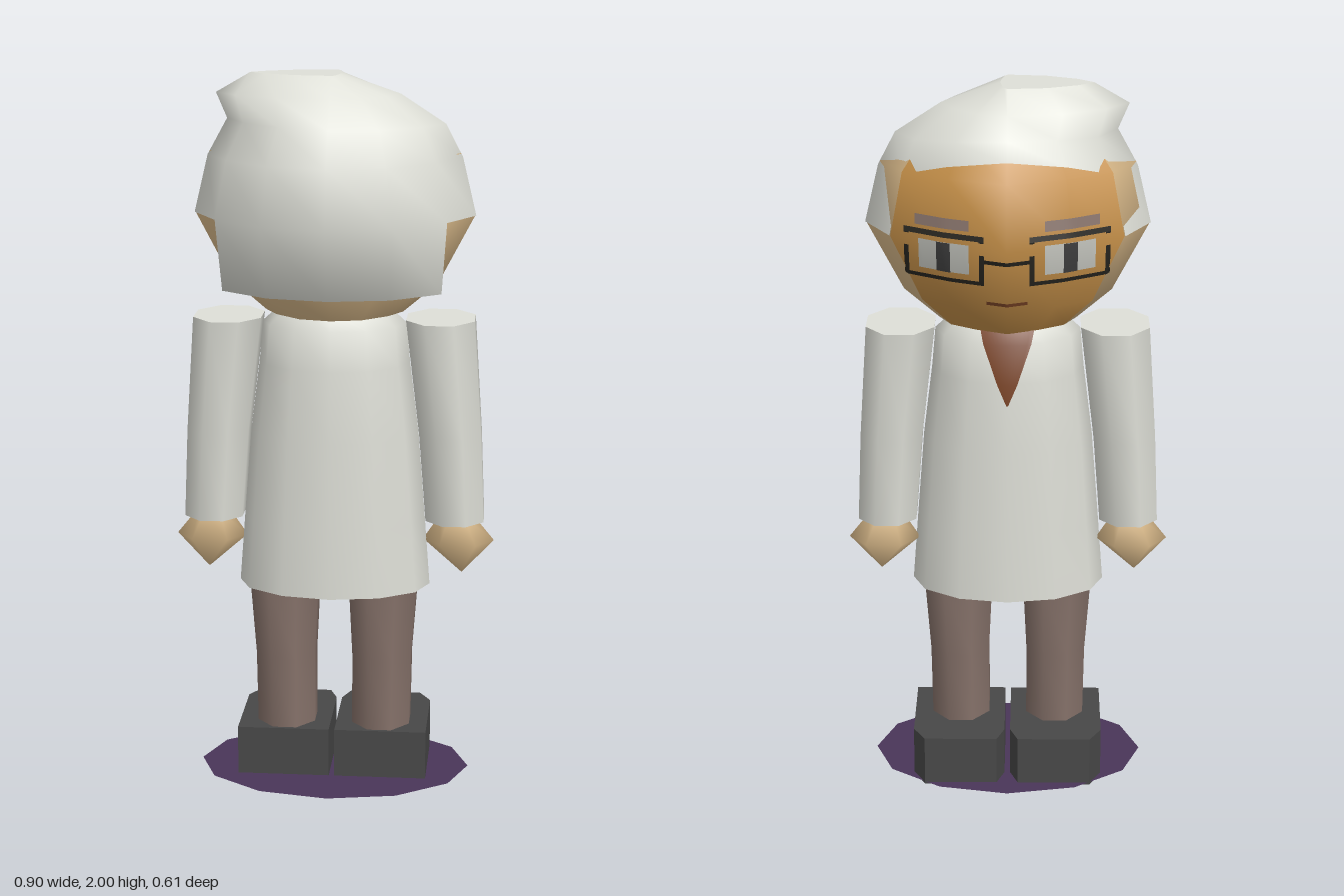
import * as THREE from 'three';

const mat = (name, color, side = THREE.FrontSide) => {
  const m = new THREE.MeshStandardMaterial({ color, side });
  m.name = name;
  return m;
};
const lerp = THREE.MathUtils.lerp;

// Indexed surface over a grid of point rows (each row runs towards +x at the face side)
function surface(rows, { closed = true, keep = () => true, top = false, bottom = false } = {}) {
  const n = rows[0].length, pos = rows.flat(2), idx = [];
  for (let r = 0; r < rows.length - 1; r++)
    for (let i = 0; i < (closed ? n : n - 1); i++) {
      if (!keep(i, r)) continue;
      const j = (i + 1) % n;
      const a = r * n + i, b = r * n + j, c = b + n, d = a + n;
      idx.push(a, d, c, a, c, b);
    }
  const cap = (row, up) => {
    const start = pos.length / 3;
    row.forEach(p => pos.push(...p));
    pos.push(...[0, 1, 2].map(k => row.reduce((s, p) => s + p[k], 0) / n));
    for (let i = 0; i < n; i++) {
      const a = start + i, b = start + (i + 1) % n;
      idx.push(start + n, ...(up ? [b, a] : [a, b]));
    }
  };
  if (top) cap(rows[rows.length - 1], true);
  if (bottom) cap(rows[0], false);
  const g = new THREE.BufferGeometry();
  g.setAttribute('position', new THREE.Float32BufferAttribute(pos, 3));
  g.setIndex(idx);
  g.computeVertexNormals();
  return g;
}

// Elliptical cross-section, starting at -z and turning towards +x
const oval = (cx, y, cz, rx, rz, n, turn = 0) => Array.from({ length: n }, (_, i) => {
  const a = (i + turn) / n * Math.PI * 2;
  return [cx + rx * Math.sin(a), y, cz - rz * Math.cos(a)];
});

// Twelve-sided head section; frontZ sets the sharpness of the face side
const BACK = [1, 0.86, 0.44, 0], FACE = [1, 0.75, 0.46, 0], WIDE = [0, 0.45, 0.81, 1];
const headRing = ({ yL, yR = yL, xL, xR = xL, zf, zb, front = FACE, lift = 0 }) =>
  Array.from({ length: 12 }, (_, i) => {
    const k = i % 6 <= 3 ? i % 6 : 6 - i % 6;
    const isFront = i <= 3 || i >= 9, right = i <= 6;
    const x = WIDE[k] * (right ? xR : -xL);
    const y = lerp(yL, yR, (x + xL) / (xL + xR)) + (isFront ? lift * [1, 0.7, 0, 0][k] : 0);
    return [x, y, isFront ? -zf * front[k] : zb * BACK[k]];
  });

const HEAD = [
  [1.34, 0.19, 0.155, 0.155], [1.42, 0.285, 0.215, 0.21], [1.61, 0.385, 0.305, 0.295],
  [1.78, 0.345, 0.262, 0.265], [1.87, 0.27, 0.19, 0.19],
];
const COAT = [
  [0.555, 0.27, 0.177], [0.75, 0.255, 0.175], [1.0, 0.235, 0.175],
  [1.2, 0.21, 0.17], [1.31, 0.2, 0.155], [1.355, 0.15, 0.12],
];
function sample(table, y) {
  let k = 0;
  while (k < table.length - 2 && y > table[k + 1][0]) k++;
  const t = (y - table[k][0]) / (table[k + 1][0] - table[k][0]);
  return table[k].map((v, c) => lerp(v, table[k + 1][c], t));
}
const faceZ = (x, y) => {
  const [, rx, zf] = sample(HEAD, y), f = Math.min(Math.abs(x) / rx, 1);
  let k = 0;
  while (k < 2 && f > WIDE[k + 1]) k++;
  return -zf * lerp(FACE[k], FACE[k + 1], (f - WIDE[k]) / (WIDE[k + 1] - WIDE[k]));
};
const coatZ = (x, y) => {
  const [, rx, rz] = sample(COAT, y);
  return -rz * Math.sqrt(1 - (x / rx) ** 2);
};
// Painted patch laid on a surface; rows are [y, x0, x1]
const patch = (zAt, rows, gap = 0.006, cols = 12) => surface(rows.map(([y, x0, x1]) =>
  Array.from({ length: cols + 1 }, (_, i) => {
    const x = lerp(x0, x1, i / cols);
    return [x, y, zAt(x, y) - gap];
  })), { closed: false });

export function createModel() {
  const root = new THREE.Group();
  root.name = 'figure';
  const white = mat('white', 0xdfe0d8, THREE.DoubleSide);
  const skin = mat('skin', 0xdcbc8c);
  const faceTone = mat('face', 0xc8924a);
  const taupe = mat('trousers', 0x86726a);
  const shoe = mat('shoe', 0x484848);
  const purple = mat('base', 0x4a3559, THREE.DoubleSide);
  const brown = mat('tie', 0x7a4426, THREE.DoubleSide);
  const black = mat('glasses', 0x2a2822);
  const add = (name, geo, m) => {
    const mesh = new THREE.Mesh(geo, m);
    mesh.name = name;
    root.add(mesh);
    return mesh;
  };

  // Flat base
  const base = add('base', new THREE.CircleGeometry(1, 12), purple);
  base.rotation.x = -Math.PI / 2;
  base.scale.set(0.385, 0.28, 1);
  base.position.y = 0.006;

  // Head: face segments and the remaining skin
  const headRows = HEAD.map(([yL, xL, zf, zb]) => headRing({ yL, xL, zf, zb }));
  const isFace = i => i < 2 || i > 9;
  add('face', surface(headRows, { keep: isFace }), faceTone);
  add('head', surface(headRows, { keep: i => !isFace(i), bottom: true }), skin);

  // Hair: long at the back, cropped at the sides, swept up to -x
  const hairRows = [
    { yL: 1.43, xL: 0.27, zf: 0.19, zb: 0.19 },
    { yL: 1.41, xL: 0.37, zf: 0.24, zb: 0.24 },
    { yL: 1.61, xL: 0.388, zf: 0.3, zb: 0.306 },
    { yL: 1.77, xL: 0.35, zf: 0.24, zb: 0.283, front: BACK, lift: 0.065 },
    { yL: 1.87, yR: 1.86, xL: 0.295, xR: 0.303, zf: 0.218, zb: 0.225, front: BACK, lift: 0.02 },
    { yL: 1.94, xL: 0.325, xR: 0.18, zf: 0.16, zb: 0.165, front: BACK },
    { yL: 1.995, xL: 0.23, xR: 0.02, zf: 0.085, zb: 0.09, front: BACK },
  ].map(headRing);
  add('hair', surface(hairRows, {
    top: true,
    keep: (i, r) => r > 2 || (r === 2 ? !isFace(i) : i >= 4 && i <= 7),
  }), white);

  // Coat and tie
  add('coat', surface(COAT.map(([y, rx, rz]) => oval(0, y, 0, rx, rz, 12)), { top: true, bottom: true }), white);
  add('tie', patch(coatZ, [[1.14, -0.002, 0.002], [1.2, -0.027, 0.027], [1.31, -0.065, 0.065], [1.35, -0.075, 0.075]]), brown);

  // Mouth and glasses bridge
  add('mouth', patch(faceZ, [[1.44, -0.055, 0.055], [1.45, -0.055, 0.055]]), brown);
  add('glassesBridge', patch(faceZ, [[1.57, -0.06, 0.06], [1.582, -0.06, 0.06]]), black);

  for (const s of [-1, 1]) {
    const side = s > 0 ? 'left' : 'right';
    const rect = (name, x0, x1, y0, y1, m, gap) => add(side + name,
      patch(faceZ, [y0, (y0 + y1) / 2, y1].map(y => [y, Math.min(s * x0, s * x1), Math.max(s * x0, s * x1)]), gap), m);

    // Eye, brow and glasses frame
    rect('Eye', 0.1, 0.235, 1.53, 1.62, white, 0.006);
    rect('Pupil', 0.15, 0.187, 1.53, 1.62, shoe, 0.009);
    rect('Brow', 0.1, 0.245, 1.655, 1.682, taupe, 0.006);
    rect('FrameTop', 0.06, 0.275, 1.632, 1.646, black, 0.007);
    rect('FrameBottom', 0.06, 0.275, 1.5, 1.512, black, 0.007);
    rect('FrameInner', 0.06, 0.073, 1.5, 1.646, black, 0.007);
    rect('FrameOuter', 0.262, 0.275, 1.5, 1.646, black, 0.007);

    // Sleeve and hand
    add(side + 'Sleeve', surface([
      oval(s * 0.34, 0.75, 0, 0.088, 0.1, 8, 0.5),
      oval(s * 0.325, 1.0, 0, 0.093, 0.11, 8, 0.5),
      oval(s * 0.295, 1.325, 0, 0.102, 0.132, 8, 0.5),
    ], { top: true, bottom: true }), white);
    add(side + 'Hand', surface([
      oval(s * 0.36, 0.59, -0.01, 0.002, 0.002, 6, 0.5),
      oval(s * 0.35, 0.685, -0.01, 0.1, 0.08, 6, 0.5),
      oval(s * 0.345, 0.76, -0.005, 0.045, 0.045, 6, 0.5),
    ], { top: true }), skin);

    // Trouser leg
    add(side + 'Leg', surface([
      oval(s * 0.135, 0.13, 0, 0.088, 0.108, 8, 0.5),
      oval(s * 0.137, 0.35, 0, 0.09, 0.11, 8, 0.5),
      oval(s * 0.14, 0.58, 0, 0.105, 0.122, 8, 0.5),
    ]), taupe);

    // Shoe with clipped toe corners
    const sole = new THREE.Shape([
      [0.008, -0.11], [0.268, -0.11], [0.268, 0.155], [0.235, 0.215], [0.03, 0.215], [0.008, 0.155],
    ].map(([x, y]) => new THREE.Vector2(s * x, y)));
    const shoeMesh = add(side + 'Shoe', new THREE.ExtrudeGeometry(sole, { depth: 0.145, bevelEnabled: false }), shoe);
    shoeMesh.rotation.x = -Math.PI / 2;
  }
  return root;
}
